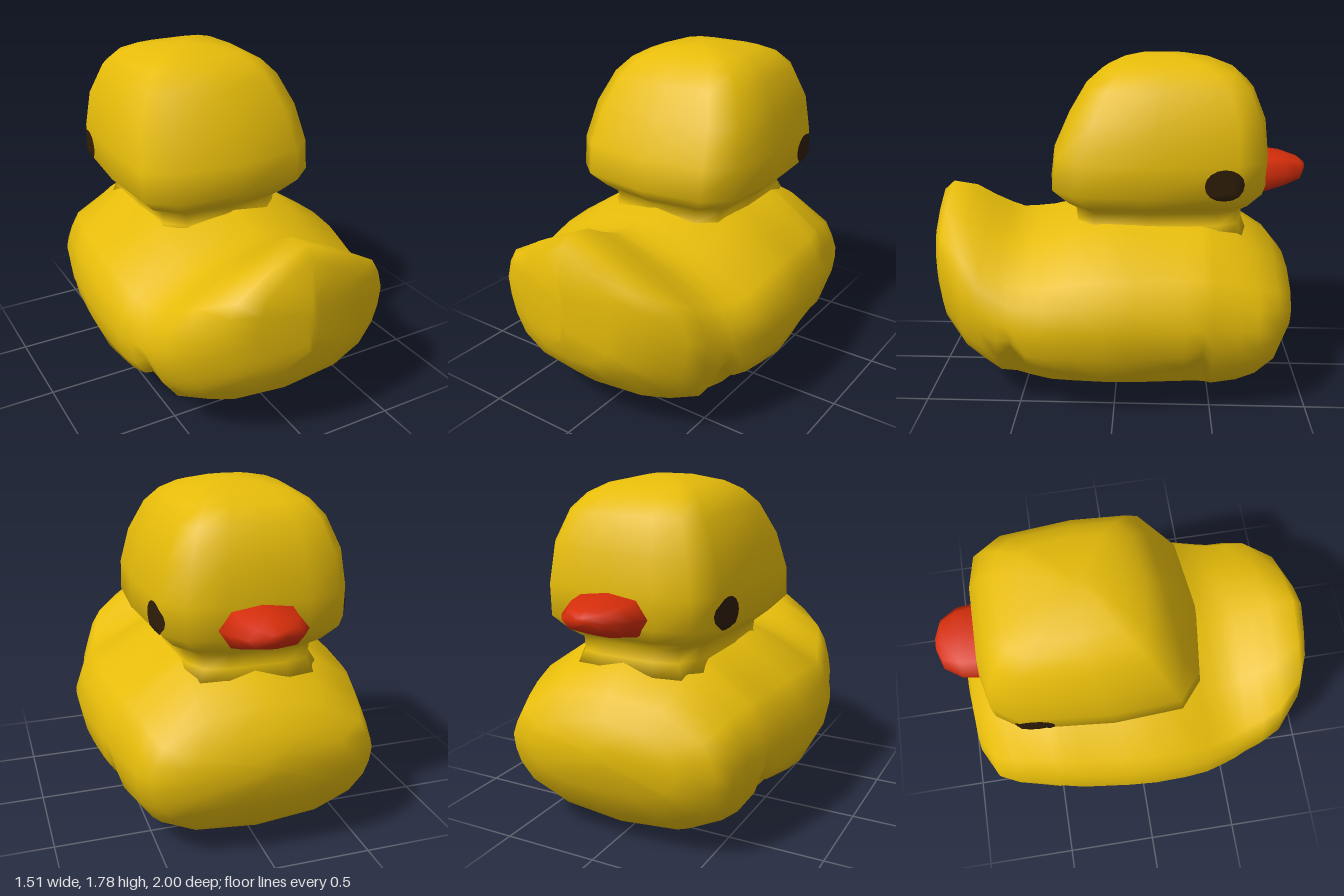
import * as THREE from 'three';

const mat = (name, color) => Object.assign(new THREE.MeshStandardMaterial({ color }), { name });

// Skin through closed loops of equal length, both ends closed with a fan
function loft(rings) {
  const n = rings[0].length, pos = rings.flat(2), idx = [];
  rings.slice(0, -1).forEach((_, i) => {
    for (let j = 0; j < n; j++) {
      const k = (j + 1) % n, a = i * n + j, b = i * n + k;
      idx.push(a, b, b + n, a, b + n, a + n);
    }
  });
  [0, rings.length - 1].forEach((r) => {
    const c = pos.length / 3;
    for (let q = 0; q < 3; q++) pos.push(rings[r].reduce((s, p) => s + p[q], 0) / n);
    for (let j = 0; j < n; j++) {
      const a = r * n + j, b = r * n + (j + 1) % n;
      if (r === 0) idx.push(c, b, a); else idx.push(c, a, b);
    }
  });
  const g = new THREE.BufferGeometry();
  g.setAttribute('position', new THREE.Float32BufferAttribute(pos, 3));
  g.setIndex(idx);
  g.computeVertexNormals();
  return g;
}

// Closes a half outline (first and last point on the axis) by mirroring it
const mirrored = (half) => [...half, ...half.slice(1, -1).reverse().map(([x, y]) => [-x, y])];

// Half cross-sections of the body as fractions of width and height
const PLAIN = [[0, 0], [0.52, 0.04], [0.8, 0.14], [0.86, 0.2], [0.93, 0.27], [0.98, 0.38],
  [1, 0.5], [0.95, 0.62], [0.87, 0.72], [0.5, 0.87], [0, 1]];
// The same with a wing whose lower lip overhangs at the given height
const winged = (lip) => [[0, 0], [0.46, 0.04], [0.69, 0.14], [0.74, lip - 0.01], [0.89, lip + 0.01],
  [0.96, Math.max(0.36, lip + 0.07)], [1, 0.51], ...PLAIN.slice(7)];

function bodyGeometry() {
  // z, half width, bottom, top, wing amount, wing lip, shoulder fullness
  const stations = [
    [-0.945, 0.1, 0.46, 0.58, 0, 0.4, 0.5], [-0.915, 0.41, 0.32, 0.69, 0, 0.4, 0.5],
    [-0.83, 0.575, 0.17, 0.8, 0, 0.4, 0.5], [-0.73, 0.62, 0.08, 0.87, 0, 0.4, 0.5],
    [-0.63, 0.645, 0.035, 0.94, 0, 0.4, 0.45], [-0.5, 0.68, 0.02, 0.98, 0, 0.4, 0.45],
    [-0.45, 0.695, 0.015, 0.99, 0.6, 0.36, 0.45], [-0.36, 0.715, 0.01, 0.99, 0.9, 0.28, 0.45],
    [-0.1, 0.745, 0, 1, 1, 0.24, 0.45], [0.05, 0.755, 0, 1, 1, 0.225, 0.45],
    [0.22, 0.75, 0.005, 0.985, 1, 0.245, 0.3], [0.35, 0.735, 0.01, 0.955, 1, 0.26, 0.1],
    [0.44, 0.71, 0.025, 0.945, 1, 0.27, 0], [0.52, 0.685, 0.05, 0.94, 0.85, 0.36, 0],
    [0.59, 0.655, 0.075, 0.965, 0, 0.4, 0], [0.68, 0.63, 0.13, 1.005, 0, 0.4, -0.1],
    [0.78, 0.585, 0.19, 1.06, 0, 0.4, -0.2], [0.91, 0.43, 0.32, 1.08, 0, 0.4, 0],
    [0.965, 0.28, 0.42, 1.03, 0, 0.4, 0], [1, 0.03, 0.54, 0.88, 0, 0.4, 0],
  ];
  return loft(stations.map(([z, w, bottom, top, wing, lip, full]) => {
    const wingHalf = winged(lip);
    const half = PLAIN.map(([px, pt], i) => {
      const x = THREE.MathUtils.lerp(px, wingHalf[i][0], wing);
      let t = THREE.MathUtils.lerp(pt, wingHalf[i][1], wing);
      if (t > 0.6) t += full * 14 * (t - 0.6) ** 2 * (1 - t);
      return [x * w, bottom + t * (top - bottom)];
    });
    return mirrored(half).map(([x, y]) => [x, y, z]);
  }));
}

function headGeometry() {
  const outline = mirrored([[0, 1], [0.7, 0.92], [0.96, 0.72], [1, 0.1], [0.92, -0.7],
    [0.75, -0.93], [0.4, -1], [0, -1]]);
  // y, half width, rear z, face z
  const levels = [
    [0.85, 0.4, 0.29, -0.7], [0.93, 0.35, 0.24, -0.665], [1, 0.36, 0.24, -0.66],
    [1.04, 0.43, 0.29, -0.71], [1.12, 0.51, 0.37, -0.78], [1.28, 0.51, 0.35, -0.785],
    [1.47, 0.475, 0.265, -0.765], [1.63, 0.4, 0.17, -0.7], [1.705, 0.33, 0.085, -0.615],
    [1.75, 0.25, -0.01, -0.5], [1.778, 0.12, -0.11, -0.36], [1.785, 0.03, -0.19, -0.28],
  ];
  return loft(levels.map(([y, w, rear, face]) => outline.map(([x, z]) =>
    [x * w - 0.017, y, (rear + face) / 2 + z * (rear - face) / 2])));
}

function beakGeometry() {
  const outline = mirrored([[0, -1], [0.72, -0.8], [1, 0], [0.72, 0.8], [0, 1]]);
  // z, half width, bottom, top
  const stations = [[-1, 0.04, 1.17, 1.21], [-0.97, 0.135, 1.13, 1.235],
    [-0.88, 0.195, 1.095, 1.265], [-0.78, 0.21, 1.06, 1.28], [-0.7, 0.2, 1.06, 1.28]];
  return loft(stations.map(([z, w, bottom, top]) => outline.map(([x, y]) =>
    [x * w + 0.01, (bottom + top) / 2 + y * (top - bottom) / 2, z])));
}

// Disc laid onto the side of the head, just above its surface
function eyeGeometry(head, side) {
  const g = new THREE.RingGeometry(0, 1, 16, 4), p = g.attributes.position;
  const ray = new THREE.Raycaster();
  for (let i = 0; i < p.count; i++) {
    const y = 1.185 + p.getY(i) * 0.082, z = -0.545 - side * p.getX(i) * 0.1;
    ray.set(new THREE.Vector3(side * 2, y, z), new THREE.Vector3(-side, 0, 0));
    const hit = ray.intersectObject(head)[0];
    p.setXYZ(i, (hit ? hit.point.x : side * 0.47) + side * 0.007, y, z);
  }
  g.computeVertexNormals();
  return g;
}

export function createModel() {
  const yellow = mat('yellow', 0xe6bc0a), red = mat('red', 0xd42d0a), dark = mat('darkBrown', 0x2f1d08);
  const model = new THREE.Group();
  model.name = 'toyDuck';
  const add = (name, geometry, material) => {
    const mesh = new THREE.Mesh(geometry, material);
    mesh.name = name;
    model.add(mesh);
    return mesh;
  };
  add('body', bodyGeometry(), yellow);
  const head = add('head', headGeometry(), yellow);
  add('beak', beakGeometry(), red);
  add('leftEye', eyeGeometry(head, -1), dark);
  add('rightEye', eyeGeometry(head, 1), dark);
  return model;
}
